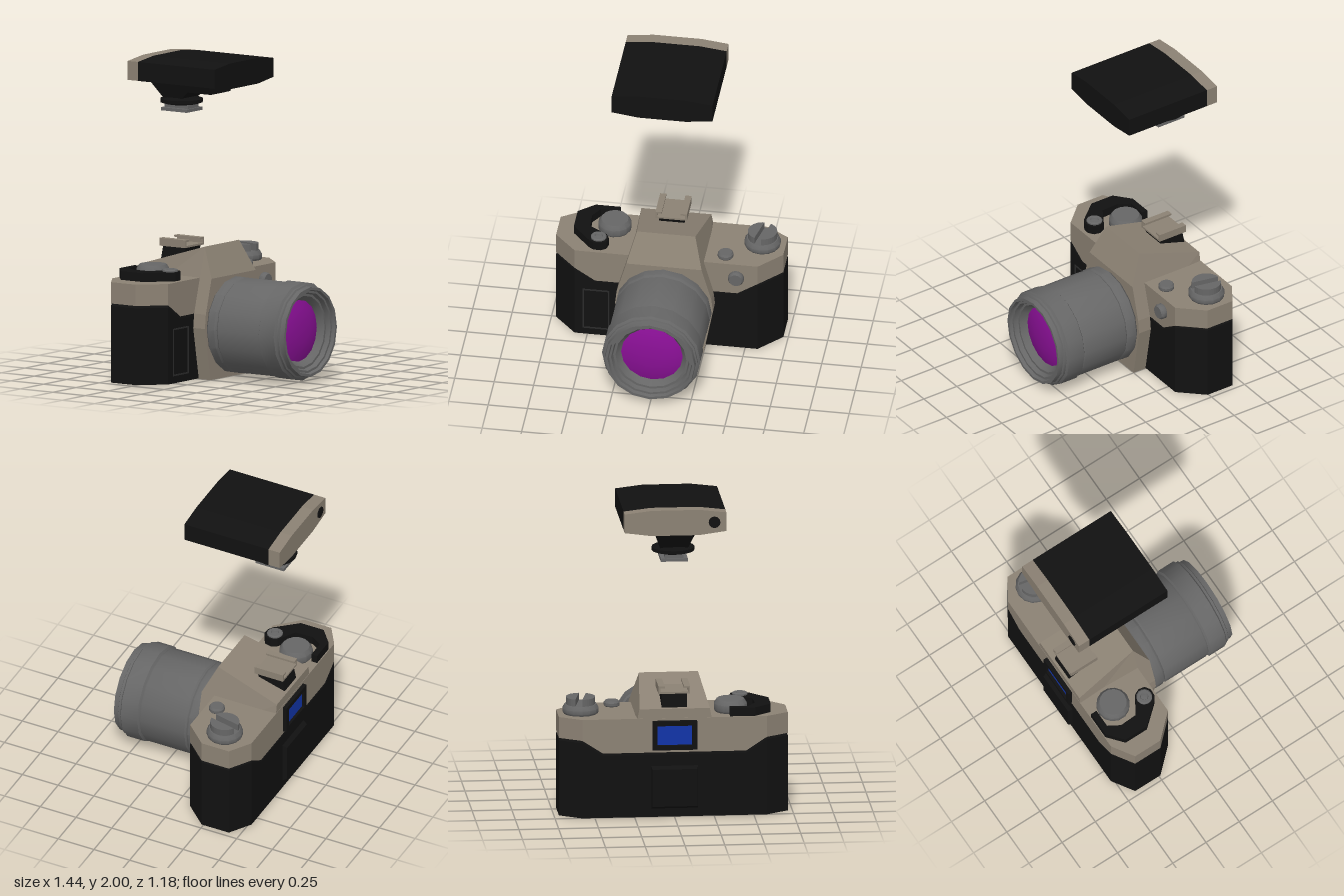
import * as THREE from 'three';
import { toCreasedNormals } from 'three/addons/utils/BufferGeometryUtils.js';

const mat = (color) => new THREE.MeshStandardMaterial({ color, side: THREE.DoubleSide });
const BLACK = mat(0x111111), TAN = mat(0x8c8274), GREY = mat(0x666666);
const PURPLE = mat(0x8a1096), BLUE = mat(0x1234a8);

const V2 = (pts) => pts.map(([x, y]) => new THREE.Vector2(x, y));

// Closed solid through rings of [x, y, z] points, with flat caps
function loft(rings) {
  const tris = [], n = rings[0].length;
  for (let r = 0; r + 1 < rings.length; r++) {
    for (let i = 0; i < n; i++) {
      const j = (i + 1) % n, A = rings[r], B = rings[r + 1];
      tris.push([A[i], A[j], B[j]], [A[i], B[j], B[i]]);
    }
  }
  const first = rings[0], last = rings[rings.length - 1];
  for (let i = 1; i + 1 < n; i++) {
    tris.push([first[0], first[i + 1], first[i]], [last[0], last[i], last[i + 1]]);
  }
  // turn the faces outward if the enclosed volume comes out negative
  const v = (p) => new THREE.Vector3(...p);
  const volume = tris.reduce((s, [a, b, c]) => s + v(a).dot(v(b).cross(v(c))), 0);
  if (volume < 0) tris.forEach((t) => t.reverse());
  const g = new THREE.BufferGeometry();
  g.setAttribute('position', new THREE.Float32BufferAttribute(tris.flat(2), 3));
  g.computeVertexNormals();
  return g;
}

// Flat outline in [x, z], raised by a height
function slab(shape, height) {
  return new THREE.ExtrudeGeometry(shape, { depth: height, bevelEnabled: false, curveSegments: 8 }).rotateX(-Math.PI / 2);
}

const turned = (profile, sides) => toCreasedNormals(new THREE.LatheGeometry(V2(profile), sides), 0.6);

export function createModel() {
  const model = new THREE.Group();
  const add = (name, geometry, material, x = 0, y = 0, z = 0, parent = model) => {
    const m = new THREE.Mesh(geometry, material);
    m.name = name;
    m.position.set(x, y, z);
    parent.add(m);
    return m;
  };
  const box = (name, material, w, h, d, x, y, z, parent) =>
    add(name, new THREE.BoxGeometry(w, h, d), material, x, y, z, parent);

  // Camera body: eight-sided plan, black below and tan above a stepped seam
  const half = [[0.72, -0.24], [0.58, -0.09], [0.45, -0.09]];
  const back = [[0.45, -0.52], [0.58, -0.52], [0.72, -0.43]];
  const flip = (pts) => pts.map(([x, z]) => [-x, z]).reverse();
  const plan = [...half, ...flip(half), ...flip(back), ...back];
  const seam = (x) => (Math.abs(x) > 0.5 ? 0.505 : 0.42);
  const ring = (yOf, s = 1) => plan.map(([x, z]) => [x * s, yOf(x), (z + 0.305) * s - 0.305]);
  add('lowerBody', loft([ring(() => 0.004), ring((x) => seam(x) - 0.015), ring(seam, 0.985)]), BLACK);
  add('topCover', loft([ring(seam), ring(() => 0.64)]), TAN);
  add('basePlate', loft([ring(() => 0, 0.93), ring(() => 0.02, 0.93)]), TAN);

  // Lens mount and viewfinder hump
  const section = (z, bottom, top) => {
    const w = 0.3 - (top - 0.42) * 0.28;
    const side = [[0.25, bottom], [0.31, Math.max(0.33, bottom)], [0.3, Math.max(0.42, bottom)], [w, top]];
    return [...side, ...side.map(([x, y]) => [-x, y]).reverse()].map(([x, y]) => [x, y, z]);
  };
  const hump = [section(0, 0, 0.64), section(-0.09, 0, 0.83)];
  const rear = section(-0.518, 0.5, 0.7).map(([x, y, z]) => [Math.sign(x) * Math.min(Math.abs(x), 0.26), y, z]);
  add('prismHousing', loft([...hump, rear]), TAN);

  // Lens with stepped rings, recessed front and coloured glass
  const lens = new THREE.Group();
  lens.name = 'lens';
  lens.position.set(0, 0.325, 0);
  lens.rotation.x = Math.PI / 2;
  model.add(lens);
  add('lensBarrel', turned([[0.2, -0.02], [0.29, 0], [0.305, 0.015], [0.305, 0.065], [0.295, 0.08], [0.303, 0.09],
    [0.303, 0.395], [0.298, 0.405], [0.312, 0.415], [0.312, 0.53], [0.298, 0.54], [0.298, 0.555], [0.288, 0.56],
    [0.285, 0.592], [0.268, 0.592], [0.262, 0.57], [0.248, 0.57], [0.24, 0.54], [0.225, 0.54], [0.195, 0.5]], 16), GREY, 0, 0, 0, lens);
  add('frontGlass', turned([[0.197, 0.5], [0.15, 0.516], [0.08, 0.527], [0, 0.53]], 16), PURPLE, 0, 0, 0, lens);

  // Rewind knob: tapered base and two half-round grips with a slot between
  const knob = new THREE.Group();
  knob.name = 'rewindKnob';
  knob.position.set(0.575, 0.64, -0.33);
  knob.rotation.y = 1.36;
  model.add(knob);
  add('knobBase', turned([[0.108, 0], [0.115, 0.012], [0.115, 0.035], [0.1, 0.06], [0, 0.06]], 14), GREY, 0, 0, 0, knob);
  for (const turn of [0, Math.PI]) {
    const grip = new THREE.Shape();
    grip.absarc(0, 0, 0.092, 0.24, Math.PI - 0.24);
    add('knobGrip', slab(grip, 0.045), GREY, 0, 0.06, 0, knob).rotation.y = turn;
  }

  // Buttons and speed dial
  const button = (r, h) => turned([[r * 0.92, 0], [r, h * 0.15], [r, h * 0.65], [r * 0.82, h], [0, h]], 14);
  add('topButton', button(0.05, 0.036), GREY, 0.365, 0.64, -0.17);
  add('frontButton', button(0.05, 0.042), GREY, 0.445, 0.545, -0.092).rotation.x = Math.PI / 2;
  add('speedDial', button(0.105, 0.08), GREY, -0.365, 0.64, -0.36);

  // Film advance lever with the shutter release at its pivot
  const lever = new THREE.Shape(V2([[-0.35, 0.515], [-0.51, 0.515], [-0.612, 0.43], [-0.612, 0.27], [-0.495, 0.135],
    [-0.465, 0.115], [-0.42, 0.112], [-0.385, 0.135], [-0.376, 0.175], [-0.395, 0.215], [-0.51, 0.285],
    [-0.515, 0.4], [-0.47, 0.475], [-0.35, 0.475]]));
  add('advanceLever', slab(lever, 0.055), BLACK, 0, 0.642, 0);
  add('shutterRelease', turned([[0.05, 0], [0.05, 0.012], [0.042, 0.018], [0.026, 0.018], [0.022, 0.01], [0, 0.014]], 14), GREY, -0.44, 0.694, -0.175);

  // Accessory shoe: black riser, tan plate and two folded rails
  const riser = (z0, z1, y0, y1, w) => [[w, y0, z0], [-w, y0, z0], [-w, y1, z1], [w, y1, z1]];
  add('shoeRiser', loft([riser(-0.33, -0.505, 0.73, 0.69, 0.08), riser(-0.31, -0.485, 0.792, 0.792, 0.08)]), BLACK);
  box('shoePlate', TAN, 0.2, 0.012, 0.2, 0, 0.798, -0.4);
  for (const s of [-1, 1]) {
    box('shoeRailWall', TAN, 0.012, 0.045, 0.2, s * 0.094, 0.815, -0.4);
    box('shoeRailLip', TAN, 0.04, 0.012, 0.2, s * 0.08, 0.835, -0.4);
  }

  // Rectangular outlines: grip frame in front, eyepiece frame behind
  const frame = (w, h, t, depth) => {
    const s = new THREE.Shape(V2([[-w, -h], [w, -h], [w, h], [-w, h]]));
    s.holes.push(new THREE.Path(V2([[t - w, t - h], [t - w, h - t], [w - t, h - t], [w - t, t - h]])));
    return new THREE.ExtrudeGeometry(s, { depth, bevelEnabled: false });
  };
  add('gripFrame', frame(0.085, 0.15, 0.009, 0.006), mat(0x2a2a2a), -0.445, 0.2, -0.092);
  add('eyepieceFrame', frame(0.14, 0.093, 0.03, 0.027), BLACK, 0, 0.532, -0.546);
  box('eyepieceGlass', BLUE, 0.23, 0.14, 0.008, 0, 0.532, -0.524);

  // Raised panel on the back door
  const panel = (w, y0, y1, z) => [[-w, y0, z], [w, y0, z], [w, y1, z], [-w, y1, z]];
  add('backPanel', loft([panel(0.15, 0.055, 0.335, -0.515), panel(0.14, 0.075, 0.315, -0.548)]), BLACK);

  // Flash unit hovering above the shoe
  const flash = new THREE.Group();
  flash.name = 'flashUnit';
  model.add(flash);
  const head = (z, s = 1) => [[0.32, 1.86], [0.15, 1.837], [-0.15, 1.837], [-0.32, 1.86],
    [-0.32, 1.98], [-0.15, 2], [0.15, 2], [0.32, 1.98]].map(([x, y]) => [x * s, (y - 1.918) * s + 1.918, z]);
  add('flashHead', loft([head(0.08), head(-0.508)]), BLACK, 0, 0, 0, flash);
  add('flashBack', loft([head(-0.508), head(-0.587)]), TAN, 0, 0, 0, flash);
  add('flashSensor', new THREE.CylinderGeometry(0.037, 0.037, 0.02, 12), BLACK, -0.245, 1.918, -0.583, flash).rotation.x = Math.PI / 2;

  // Flash foot: tapered neck, locking disc, stem and slide-in plate
  const neck = [[-0.1, 1.84], [-0.1, 1.78], [-0.28, 1.78], [-0.35, 1.72], [-0.47, 1.72], [-0.56, 1.84]];
  const neckShape = new THREE.Shape(V2(neck.map(([z, y]) => [-z, y])));
  const neckGeo = new THREE.ExtrudeGeometry(neckShape, { depth: 2, bevelEnabled: false }).translate(0, 0, -1).rotateY(Math.PI / 2);
  const p = neckGeo.attributes.position;
  for (let i = 0; i < p.count; i++) p.setX(i, p.getX(i) * (0.085 + (p.getY(i) - 1.72) * 0.35));
  neckGeo.computeVertexNormals();
  add('flashNeck', neckGeo, BLACK, 0, 0, 0, flash);
  add('lockingDisc', turned([[0, 1.69], [0.1, 1.69], [0.135, 1.7], [0.135, 1.722], [0.1, 1.735], [0, 1.735]], 16), BLACK, 0, 0, -0.4, flash);
  box('footStem', GREY, 0.115, 0.035, 0.18, 0, 1.675, -0.4, flash);
  box('footPlate', GREY, 0.17, 0.02, 0.2, 0, 1.657, -0.4, flash);

  return model;
}
